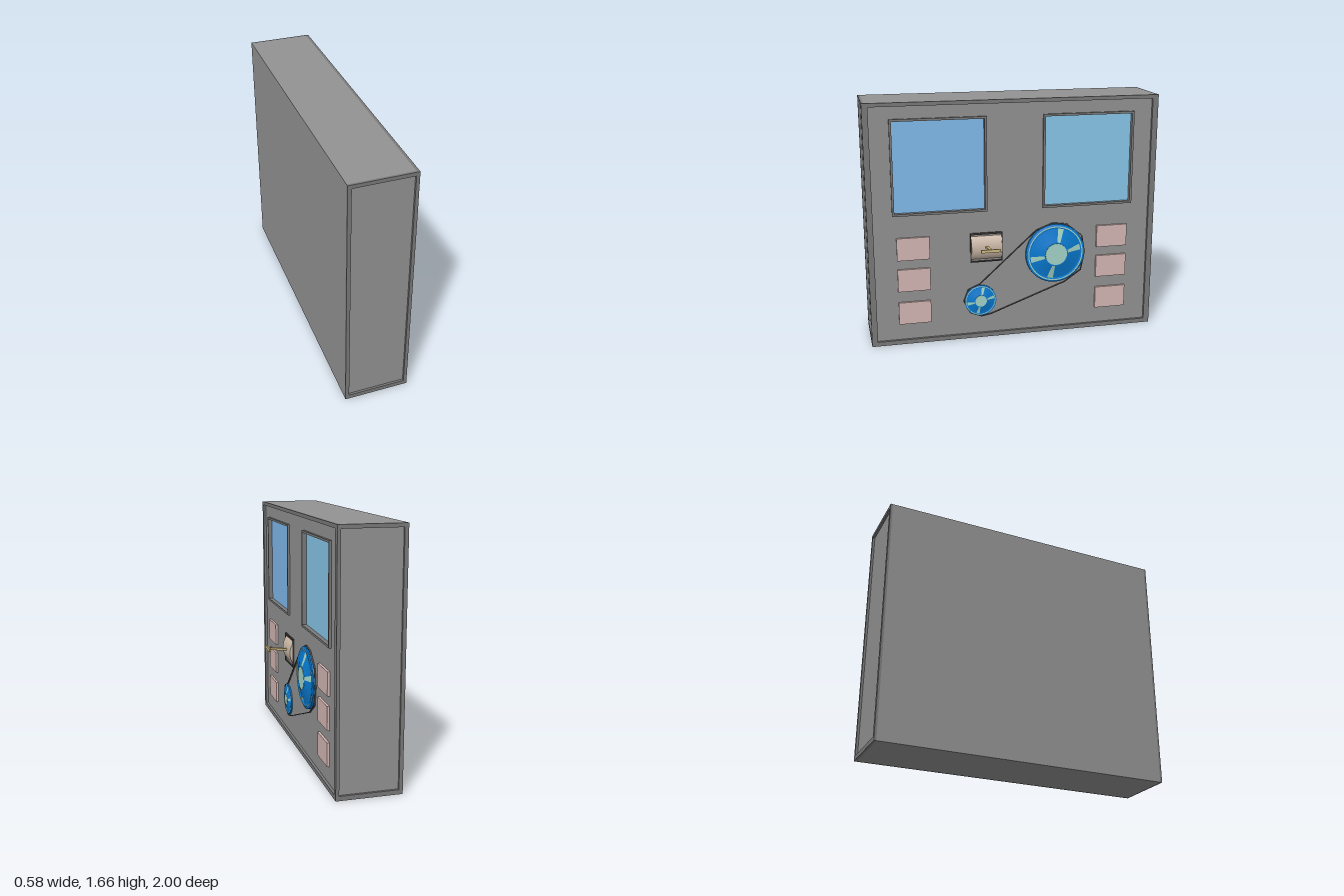
import * as THREE from 'three';
import { toCreasedNormals } from 'three/addons/utils/BufferGeometryUtils.js';

const mat = (color) => new THREE.MeshStandardMaterial({ color });
const GREY = mat(0x939393), TRIM = mat(0x7a7a7a), DARK = mat(0x413b38), BELT = mat(0x4c4c4c);
const BLUE = mat(0x087bd2), PALE = mat(0xa4d6c9), PINK = mat(0xd4b8b5), BEIGE = mat(0xcfbcab), BRASS = mat(0xc8b27c);
const H = 1.66, FACE = 0.122, RIM = 0.14;

// The console is laid out facing +z (u across, y up, d outwards), then turned to face +x.
export function createModel() {
  const model = new THREE.Group();
  const panel = new THREE.Group();
  panel.name = 'console';
  panel.rotation.y = Math.PI / 2;
  model.add(panel);

  const add = (name, geometry, material, parent = panel) => {
    const mesh = new THREE.Mesh(geometry, material);
    mesh.name = name;
    parent.add(mesh);
    return mesh;
  };
  const box = (name, u0, u1, y0, y1, d0, d1, material) => {
    const mesh = add(name, new THREE.BoxGeometry(u1 - u0, y1 - y0, d1 - d0), material);
    mesh.position.set((u0 + u1) / 2, (y0 + y1) / 2, (d0 + d1) / 2);
  };
  const trace = (path, [u0, u1, y0, y1]) =>
    path.moveTo(u0, y0).lineTo(u1, y0).lineTo(u1, y1).lineTo(u0, y1).closePath();
  const plate = (outer, holes, depth) => {
    const shape = trace(new THREE.Shape(), outer);
    holes.forEach((h) => shape.holes.push(trace(new THREE.Path(), h)));
    return new THREE.ExtrudeGeometry(shape, { depth, bevelEnabled: false });
  };

  // Cabinet, face sheet with window openings, darker raised rims on face and ends
  box('cabinet', -0.985, 0.985, 0, H, -0.29, 0.1, GREY);
  const windows = [[-0.82, -0.205, 0.92, 1.54], [0.205, 0.82, 0.92, 1.54]];
  add('faceSheet', plate([-0.985, 0.985, 0, H], windows, FACE - 0.1), GREY).position.z = 0.1;
  add('faceRim', plate([-0.985, 0.985, 0, H], [[-0.96, 0.96, 0.03, 1.635]], RIM - FACE), TRIM).position.z = FACE;
  for (const u of [1, -0.985]) {
    const rim = add('endRim', plate([-0.29, RIM, 0, H], [[-0.265, 0.118, 0.03, 1.635]], 0.015), TRIM);
    rim.rotation.y = -Math.PI / 2;
    rim.position.x = u;
  }

  // Windows: glass set back inside a slim raised frame
  windows.forEach(([u0, u1, y0, y1], i) => {
    box('windowGlass', u0, u1, y0, y1, 0.098, 0.107, mat(i ? 0x88c8ea : 0x82bbee));
    const frame = plate([u0 - 0.012, u1 + 0.012, y0 - 0.012, y1 + 0.012], [[u0 + 0.003, u1 - 0.003, y0 + 0.003, y1 - 0.003]], 0.03);
    add('windowFrame', frame, TRIM).position.z = 0.108;
  });

  // Two columns of three buttons
  for (const u of [-0.7, 0.695])
    for (const y of [0.678, 0.458, 0.223])
      box('button', u - 0.11, u + 0.11, y - 0.078, y + 0.078, 0.11, 0.138, PINK);

  // Reels: domed discs with pale hub, spokes and rim line
  const profile = [[0.21, 0], [0.21, 0.02], [0.195, 0.026], [0.18, 0.022], [0.15, 0.028], [0.085, 0.046], [0, 0.046]];
  const lathe = (points, lift, segments, start, length) => {
    const g = new THREE.LatheGeometry(points.map(([r, h]) => new THREE.Vector2(r, h + lift)), segments, start, length);
    return toCreasedNormals(g.rotateX(Math.PI / 2), 0.25);
  };
  const reel = (name, u, y, scale) => {
    const group = new THREE.Group();
    group.name = name;
    group.position.set(u, y, FACE - 0.002);
    group.scale.setScalar(scale);
    panel.add(group);
    add('reelDisc', lathe(profile, 0, 36), BLUE, group);
    for (const deg of [12, 78, 192, 258])
      add('reelSpoke', lathe(profile.slice(3, 6), 0.0015, 3, THREE.MathUtils.degToRad(deg + 90) - 0.12, 0.24), PALE, group);
    add('reelHub', new THREE.CylinderGeometry(0.077, 0.077, 0.006, 32).rotateX(Math.PI / 2), PALE, group).position.z = 0.0455;
    add('reelRing', new THREE.RingGeometry(0.188, 0.196, 40), PALE, group).position.z = 0.028;
  };
  reel('largeReel', 0.285, 0.578, 1);
  reel('smallReel', -0.245, 0.27, 0.53);

  // Thin belt running round both reels
  const belt = [[-0.25, 0.388], [0.15, 0.75], [0.27, 0.795], [0.37, 0.78], [0.48, 0.69], [0.5, 0.57], [0.475, 0.44],
    [0.36, 0.36], [-0.17, 0.165], [-0.24, 0.153], [-0.32, 0.185], [-0.362, 0.27], [-0.33, 0.355]];
  belt.forEach(([u, y], i) => {
    const [u2, y2] = belt[(i + 1) % belt.length];
    const length = Math.hypot(u2 - u, y2 - y);
    const piece = add('belt', new THREE.BoxGeometry(length + 0.002, 0.005, 0.012), BELT);
    piece.position.set((u + u2) / 2, (y + y2) / 2, FACE + 0.004);
    piece.rotation.z = Math.atan2(y2 - y, u2 - u);
  });

  // Lever: drum in a dark surround, shaft and cross handle
  add('leverSurround', plate([-0.312, -0.088, 0.55, 0.757], [[-0.306, -0.094, 0.558, 0.745]], 0.014), DARK).position.z = 0.118;
  const drum = add('leverDrum', new THREE.CylinderGeometry(0.133, 0.133, 0.212, 40).rotateZ(Math.PI / 2), BEIGE);
  drum.position.set(-0.2, 0.652, 0.017);
  const lever = new THREE.Group();
  lever.name = 'lever';
  lever.position.set(-0.2, 0.656, 0.135);
  lever.rotation.x = -0.12;
  panel.add(lever);
  add('leverShaft', new THREE.BoxGeometry(0.02, 0.016, 0.15), BRASS, lever).position.z = 0.075;
  add('leverHandle', new THREE.BoxGeometry(0.135, 0.02, 0.013), BRASS, lever).position.z = 0.149;

  return model;
}
